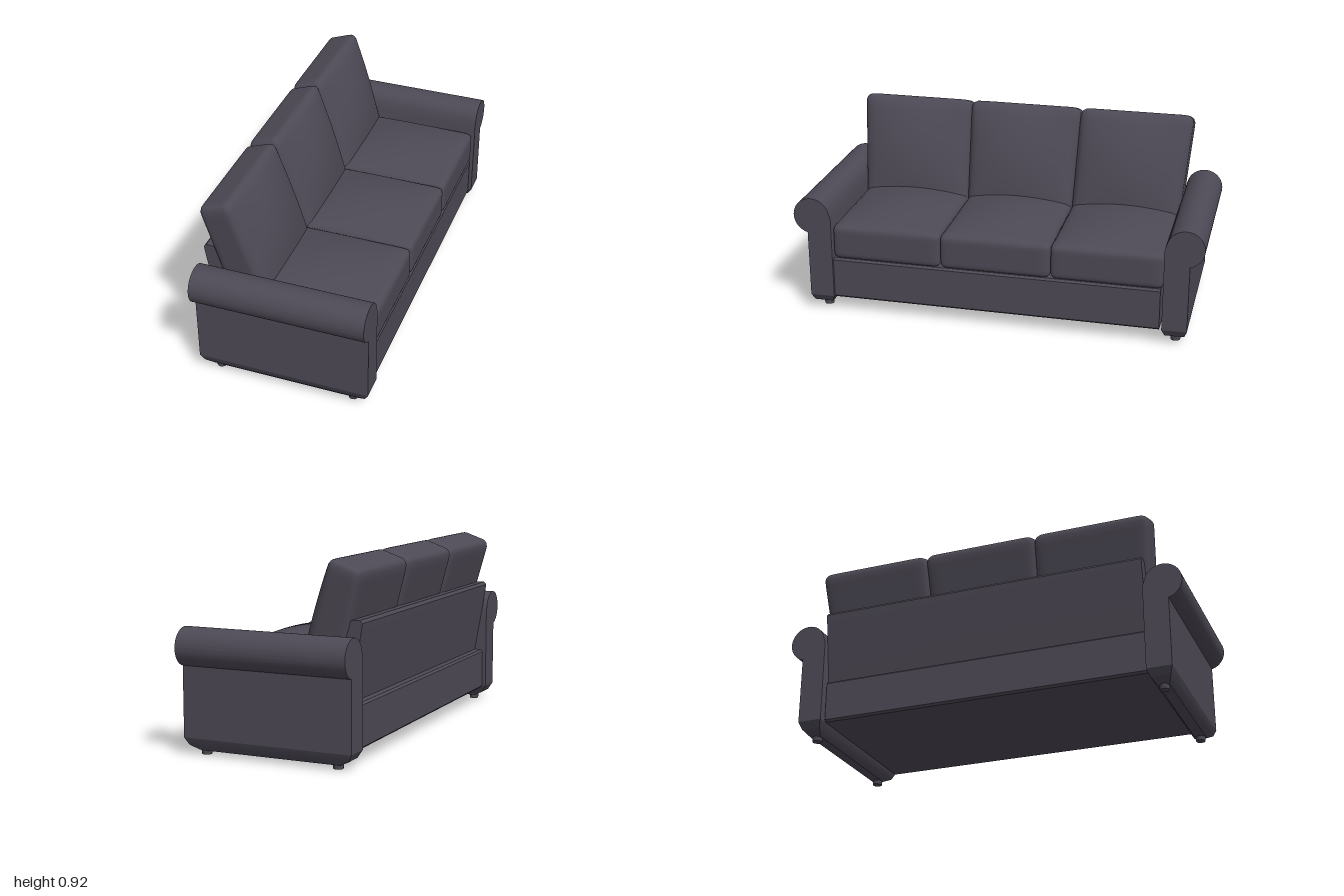
import * as THREE from 'three';
import { mergeVertices, toCreasedNormals } from 'three/addons/utils/BufferGeometryUtils.js';

const fabric = new THREE.MeshStandardMaterial({ color: 0x4d4955 });

function part(name, geometry, parent) {
  const mesh = new THREE.Mesh(geometry, fabric);
  mesh.name = name;
  parent.add(mesh);
  return mesh;
}

// Extrude an outline lying across the z axis (drawn in x, y)
function slab(points, z0, z1) {
  const shape = new THREE.Shape(points.map(([x, y]) => new THREE.Vector2(x, y)));
  const g = new THREE.ExtrudeGeometry(shape, { depth: z1 - z0, bevelEnabled: false });
  return toCreasedNormals(g.translate(0, 0, z0), 0.6);
}

// Smooth rounded box of half sizes h and edge radius r; rule(p, u) then shapes it,
// u being the position in a cube from -1 to 1
function cushion(h, r, rule) {
  let g = new THREE.BoxGeometry(2, 2, 2, 16, 16, 16);
  g.deleteAttribute('normal');
  g.deleteAttribute('uv');
  g = mergeVertices(g);
  const pos = g.attributes.position;
  const u = new THREE.Vector3(), p = new THREE.Vector3(), core = new THREE.Vector3();
  const inner = h.clone().subScalar(r);
  const outer = inner.clone().negate();
  const dense = (t) => Math.sign(t) * (1 - Math.pow(1 - Math.abs(t), 1.6)); // finer near edges
  for (let i = 0; i < pos.count; i++) {
    u.fromBufferAttribute(pos, i);
    u.set(dense(u.x), dense(u.y), dense(u.z));
    p.copy(u).multiply(h);
    core.copy(p).clamp(outer, inner);
    p.sub(core).setLength(r).add(core);
    rule(p, u);
    pos.setXYZ(i, p.x, p.y, p.z);
  }
  g.computeVertexNormals();
  return g;
}

// Arm with a rolled top, a tapering bottom and two feet
function makeArm(name) {
  const arm = new THREE.Group();
  arm.name = name;

  const outline = new THREE.Shape();
  outline.moveTo(0.813, 0.08);
  outline.lineTo(0.933, 0.08);
  outline.lineTo(0.933, 0.414);
  outline.absellipse(0.91, 0.5, 0.09, 0.09, -1.31, Math.PI * 0.87, false);
  outline.lineTo(0.813, 0.49);
  const body = new THREE.ExtrudeGeometry(outline, { depth: 0.84, bevelEnabled: false, curveSegments: 28 });
  body.rotateY(-Math.PI / 2).translate(0.42, 0, 0);
  part('armBody', toCreasedNormals(body, 0.6), arm);

  // Bottom: box rows narrowed towards the floor [y, half length, half width]
  const rows = [[0.02, 0.35, 0.026], [0.045, 0.4, 0.047], [0.08, 0.42, 0.06]];
  const base = new THREE.BoxGeometry(2, 2, 2, 1, 2, 1);
  const pos = base.attributes.position;
  for (let i = 0; i < pos.count; i++) {
    const [y, length, width] = rows[Math.round(pos.getY(i) + 1)];
    pos.setXYZ(i, pos.getX(i) * length, y, 0.873 + pos.getZ(i) * width);
  }
  part('armBottom', toCreasedNormals(base, 0.4), arm);

  for (const x of [-0.335, 0.33]) {
    const foot = new THREE.CylinderGeometry(0.026, 0.023, 0.03, 12);
    part('foot', toCreasedNormals(foot, 0.6), arm).position.set(x, 0.015, 0.873);
  }
  return arm;
}

export function createModel() {
  const sofa = new THREE.Group();
  sofa.name = 'sofa';

  // Arms, the second one turned about to mirror the first
  const leftArm = makeArm('armNear');
  const rightArm = makeArm('armFar');
  rightArm.rotation.y = Math.PI;
  sofa.add(leftArm, rightArm);

  // Base frame with softened edges
  part('baseFrame', slab([
    [-0.39, 0.07], [0.395, 0.07], [0.405, 0.08], [0.405, 0.27], [0.395, 0.28],
    [-0.39, 0.28], [-0.4, 0.27], [-0.4, 0.08],
  ], -0.8, 0.813), sofa);

  // Leaning back board
  part('backBoard', slab([
    [-0.355, 0.27], [-0.24, 0.27], [-0.33, 0.59], [-0.343, 0.63], [-0.36, 0.65],
    [-0.405, 0.652], [-0.417, 0.638], [-0.41, 0.59],
  ], -0.813, 0.813), sofa);

  for (let k = -1; k <= 1; k++) {
    // Seat cushion with a domed top
    const seat = cushion(new THREE.Vector3(0.34, 0.0875, 0.271), 0.03, (p, u) => {
      if (p.y > 0) p.y += 0.048 * (1 - u.x * u.x) * (1 - u.z * u.z) * (p.y / 0.0875);
    });
    part('seatCushion', seat, sofa).position.set(0.07, 0.3665, k * 0.541);

    // Back cushion: thicker below, bulging forward, wider at the top
    const back = cushion(new THREE.Vector3(0.1, 0.2825, 0.27), 0.04, (p, u) => {
      const t = p.y / 0.565 + 0.5;
      const front = (p.x + 0.1) / 0.2;
      const bulge = 0.05 * (1 - u.y * u.y) * (1 - u.z * u.z);
      p.x = front * (0.2 - 0.035 * t + bulge);
      p.y += 0.2825 + (front - 0.5) * 0.015 * t;
      p.z *= 1 + 0.055 * t;
      p.z += k * (0.54 + 0.028 * t);
    });
    const backCushion = part('backCushion', back, sofa);
    backCushion.position.set(-0.285, 0.33, 0);
    backCushion.rotation.z = 0.253;
  }
  return sofa;
}
